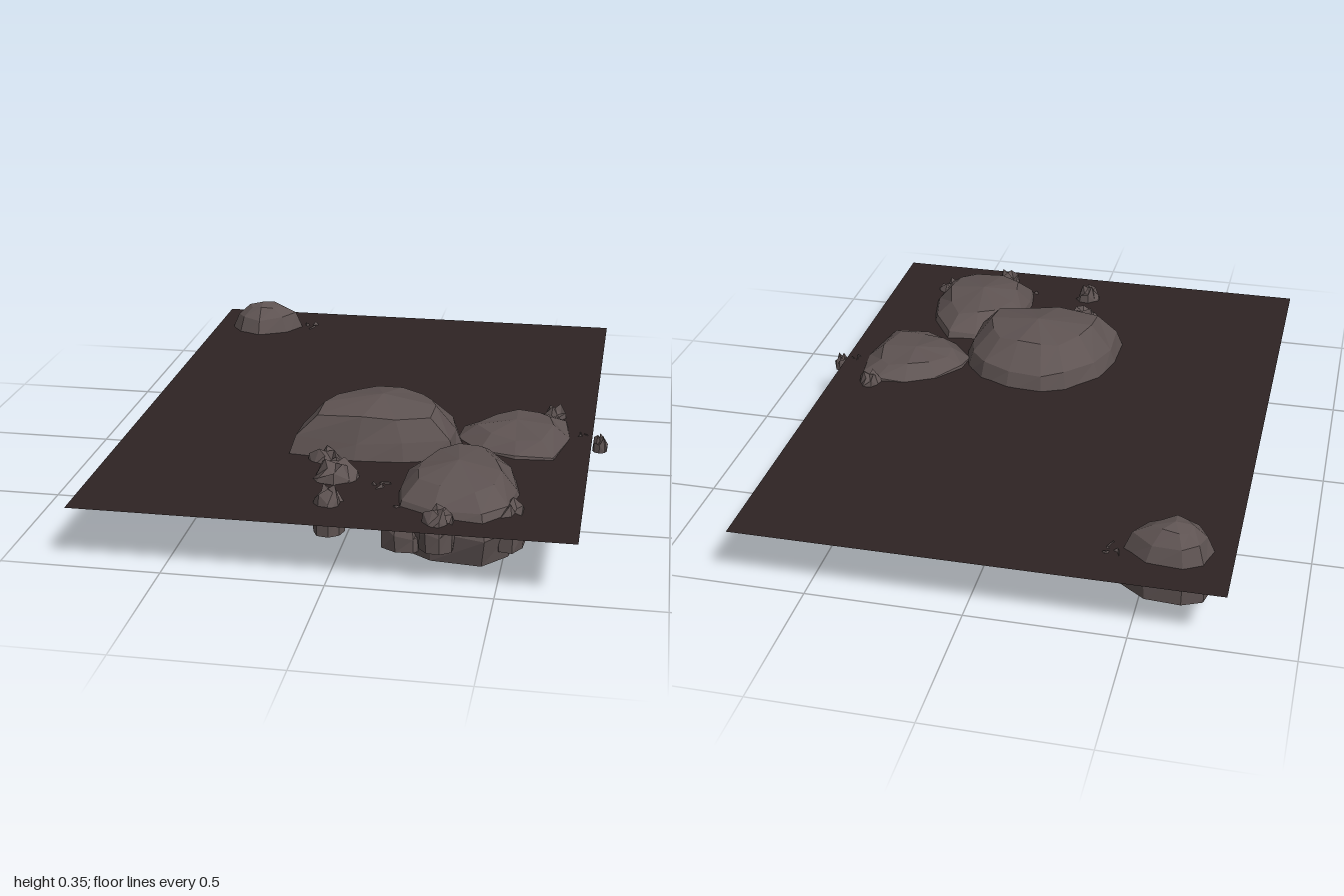
import * as THREE from 'three';

const stone = new THREE.MeshStandardMaterial({ color: 0x5e5352, side: THREE.DoubleSide, flatShading: true });
stone.name = 'stone';
const soil = new THREE.MeshStandardMaterial({ color: 0x2e2424, side: THREE.DoubleSide });
soil.name = 'darkSoil';

// Open-bottomed faceted shell: an outline [x, z] repeated at rings [y, scale, shiftZ], closed by a peak.
function rock(name, outline, rings, peakY, rough = 0.015, soiled = []) {
  const n = outline.length;
  const cx = outline.reduce((s, p) => s + p[0], 0) / n;
  const cz = outline.reduce((s, p) => s + p[1], 0) / n;
  const pos = [];
  rings.forEach(([y, scale, shiftZ = 0], r) => outline.forEach(([x, z], i) => {
    const k = scale * (1 + rough * Math.sin(i * 2.3 + r * 1.7));
    const lift = r ? rough * 0.4 * Math.sin(i * 1.9 + r * 2.9) : 0;
    pos.push(cx + (x - cx) * k, y + lift, cz + (z - cz) * k + shiftZ);
  }));
  const lastRing = rings[rings.length - 1];
  pos.push(cx, peakY, cz + (lastRing[2] || 0));

  const faces = [], dark = [];
  for (let r = 0; r < rings.length - 1; r++) {
    for (let i = 0; i < n; i++) {
      const j = (i + 1) % n, a = r * n, b = a + n;
      const list = r === 0 && soiled.includes(i) ? dark : faces;
      list.push(a + j, a + i, b + i, a + j, b + i, b + j);
    }
  }
  const top = (rings.length - 1) * n;
  for (let i = 0; i < n; i++) faces.push(top + n, top + (i + 1) % n, top + i);

  let geo = new THREE.BufferGeometry();
  geo.setAttribute('position', new THREE.Float32BufferAttribute(pos, 3));
  geo.setIndex([...faces, ...dark]);
  geo = geo.toNonIndexed();
  geo.computeVertexNormals();
  geo.addGroup(0, faces.length, 0);
  if (dark.length) geo.addGroup(faces.length, dark.length, 1);
  const mesh = new THREE.Mesh(geo, dark.length ? [stone, soil] : stone);
  mesh.name = name;
  return mesh;
}

// Small domed stone
function pebble(x, z, rx, rz, y0, y1, seed) {
  const outline = [];
  for (let i = 0; i < 8; i++) {
    const a = (i / 8) * Math.PI * 2 + seed;
    outline.push([x + rx * Math.cos(a), z + rz * Math.sin(a)]);
  }
  const h = y1 - y0;
  return rock('pebble', outline,
    [[y0, 0.95], [y0 + h * 0.5, 1], [y0 + h * 0.8, 0.78], [y0 + h * 0.95, 0.4]], y1, 0.05);
}

export function createModel() {
  const group = new THREE.Group();

  // Flat sheet of ground that the stones poke through
  const ground = new THREE.Mesh(new THREE.PlaneGeometry(1.52, 2).rotateX(-Math.PI / 2), soil);
  ground.position.set(-0.025, 0.195, 0);
  ground.name = 'ground';
  group.add(ground);

  // Large boulders
  group.add(
    rock('largeBoulder',
      [[-0.21, 0.47], [-0.205, 0.33], [-0.17, 0.21], [-0.08, 0.1], [0, 0.07], [0.12, 0.08],
        [0.22, 0.12], [0.28, 0.2], [0.31, 0.3], [0.3, 0.43], [0.15, 0.48], [0, 0.495]],
      [[0.003, 0.95, 0.02], [0.06, 1.04, 0.015], [0.17, 1.07], [0.25, 0.97], [0.325, 0.7, 0.03]],
      0.355, 0.015, [8, 11]),
    rock('frontBoulder',
      [[0.18, 0.72], [0.185, 0.6], [0.24, 0.46], [0.32, 0.4], [0.42, 0.39], [0.5, 0.52],
        [0.54, 0.68], [0.52, 0.82], [0.45, 0.9], [0.3, 0.88], [0.2, 0.82]],
      [[0.055, 1.02], [0.15, 1.1], [0.215, 0.98], [0.262, 0.7]], 0.287),
    rock('sideBoulder',
      [[0.3, 0.25], [0.31, 0.17], [0.38, 0.08], [0.48, 0.02], [0.58, 0.015], [0.64, 0.06],
        [0.665, 0.2], [0.62, 0.39], [0.5, 0.4], [0.38, 0.35]],
      [[0.08, 1.05], [0.15, 1.08], [0.2, 1], [0.235, 0.68]], 0.25),
    rock('backBoulder',
      [[-0.72, -0.78], [-0.7, -0.86], [-0.64, -0.89], [-0.53, -0.88], [-0.45, -0.82],
        [-0.5, -0.74], [-0.6, -0.69], [-0.68, -0.72]],
      [[0.065, 1.02], [0.17, 1.08], [0.25, 0.82], [0.283, 0.45]], 0.297),
  );

  // Pebbles: x, z, radius x, radius z, bottom, top
  [
    [-0.09, 0.51, 0.07, 0.05, 0.1, 0.225],
    [-0.035, 0.63, 0.085, 0.085, 0.1, 0.238],
    [-0.02, 0.83, 0.05, 0.05, 0.1, 0.24],
    [0.32, 0.91, 0.055, 0.055, 0.11, 0.23],
    [0.52, 0.8, 0.055, 0.08, 0.09, 0.215],
    [0.6, 0.0, 0.05, 0.05, 0.09, 0.225],
    [0.21, 0.82, 0.075, 0.07, 0.07, 0.19],
    [0.11, 0.68, 0.05, 0.04, 0.145, 0.19],
    [0.7, 0.16, 0.025, 0.03, 0.145, 0.187],
    [0.76, 0.165, 0.025, 0.025, 0.145, 0.187],
    [-0.42, -0.84, 0.05, 0.06, 0.135, 0.19],
  ].forEach((p, i) => group.add(pebble(...p, i * 0.7)));

  return group;
}
